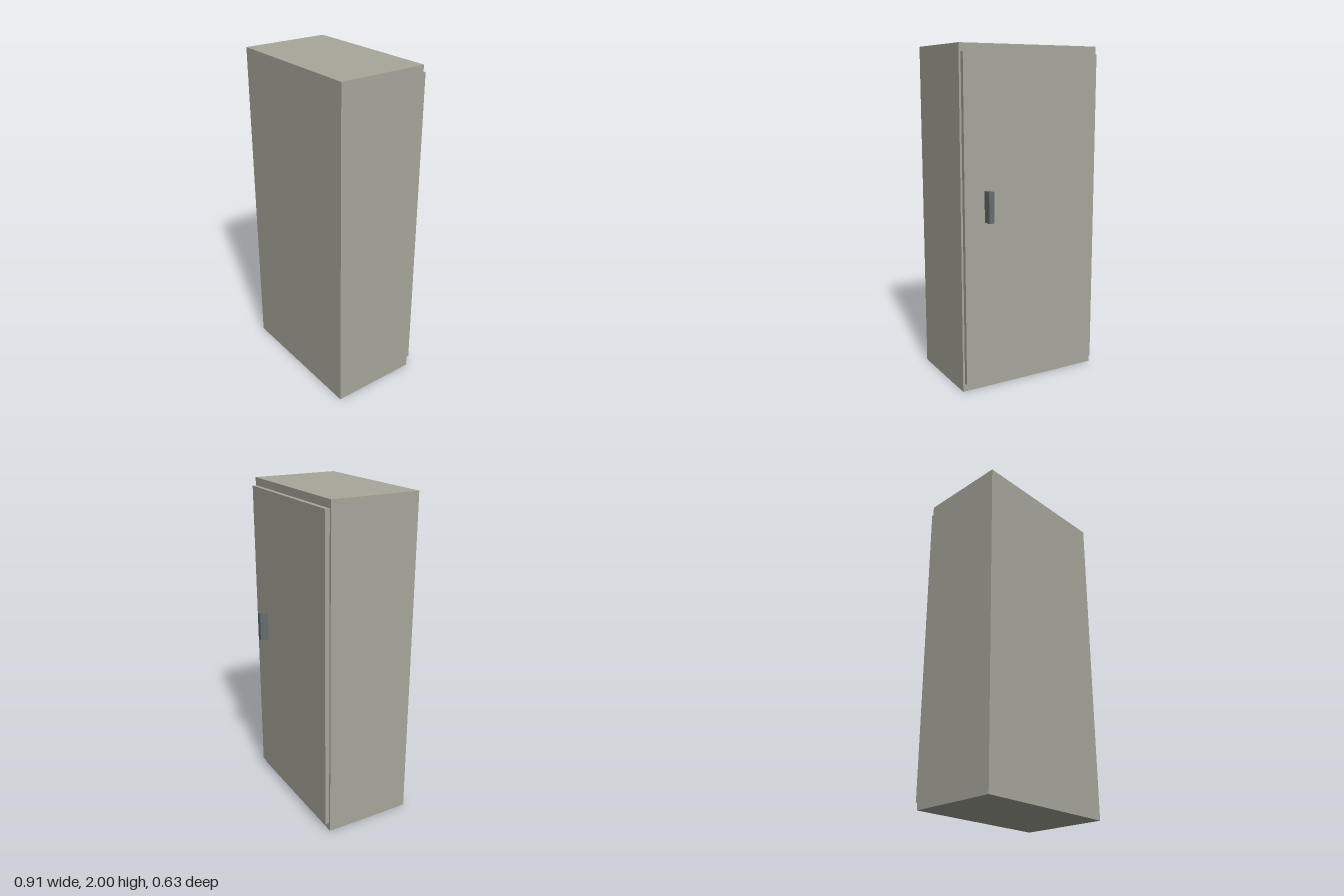
import * as THREE from 'three';

const paint = new THREE.MeshStandardMaterial({ color: 0xa8a79b });
const darkGrey = new THREE.MeshStandardMaterial({ color: 0x666c70 });

// Box given by its minimum and maximum corners
function block(name, min, max, material) {
  const size = max.map((v, i) => v - min[i]);
  const mesh = new THREE.Mesh(new THREE.BoxGeometry(...size), material);
  mesh.position.set(...max.map((v, i) => (v + min[i]) / 2));
  mesh.name = name;
  return mesh;
}

export function createModel() {
  const group = new THREE.Group();
  group.name = 'cabinet';

  // Cabinet housing
  group.add(block('body', [-0.453, 0, -0.232], [0.453, 2, 0.314], paint));

  // Raised door panel with its handle on the -z side
  group.add(block('door', [-0.441, 0.05, -0.259], [0.441, 1.953, -0.232], paint));
  group.add(block('handle', [0.284, 1.01, -0.314], [0.316, 1.19, -0.259], darkGrey));

  return group;
}
